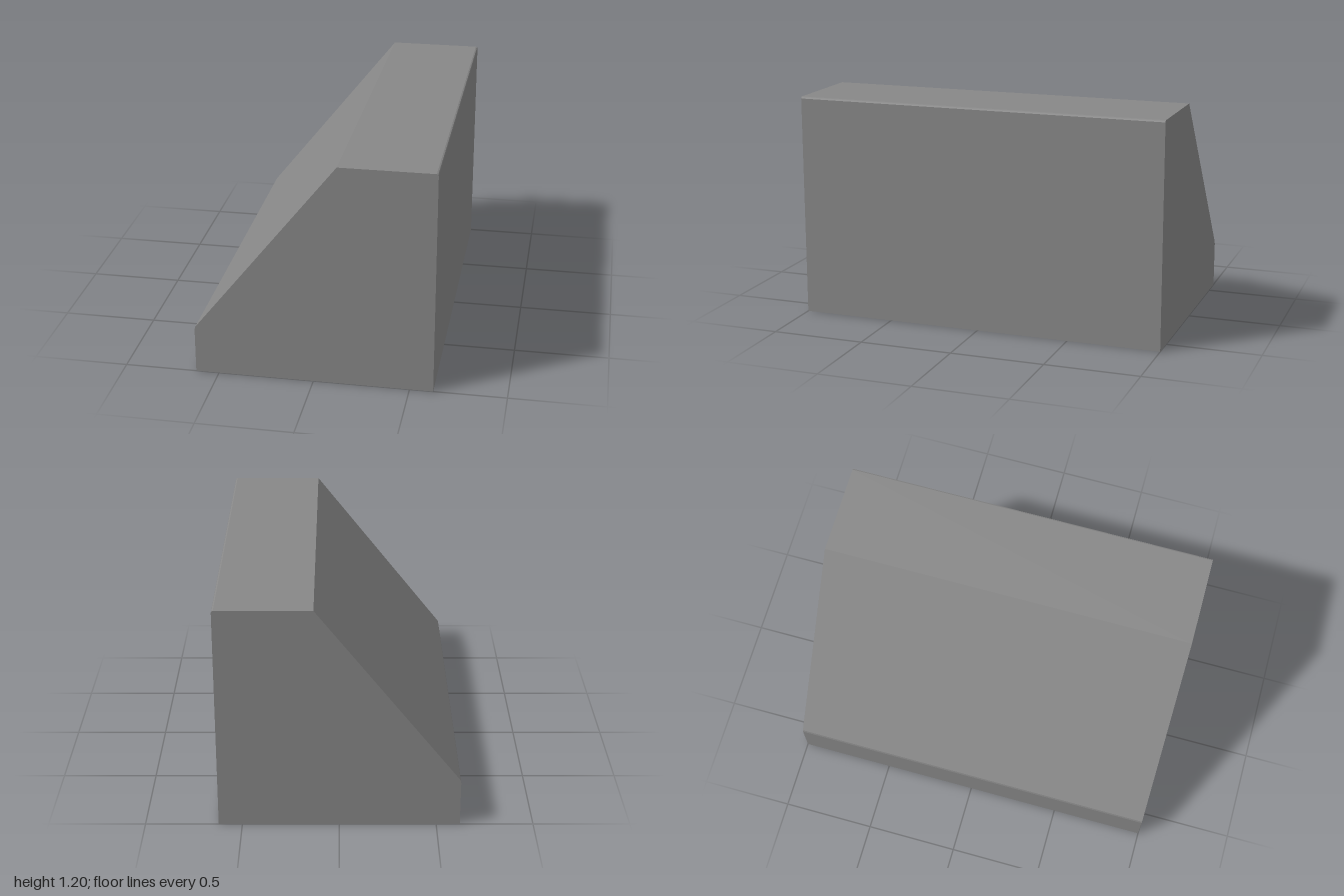
import * as THREE from 'three';
import { toCreasedNormals } from 'three/addons/utils/BufferGeometryUtils.js';

const HALF_LENGTH = 1;

// Cross-sections, from the foot of the low wall over the slope and top to the foot of the tall wall
const OUTER = [
  [-0.622, 0], [-0.622, 0.245], [-0.618, 0.26],
  [0.125, 1.2],
  [0.612, 1.2], [0.619, 1.197], [0.622, 1.19], [0.622, 0],
];
const INNER = [
  [-0.618, 0], [-0.618, 0.254], [-0.502, 0.4],
  [0.127, 1.196], [0.618, 1.196], [0.618, 0],
];

// Sheet folded along a cross-section and running the whole length
function foldedSheet(profile, creaseAngle) {
  const sheet = new THREE.PlaneGeometry(1, 1, profile.length - 1, 1);
  const position = sheet.attributes.position;
  for (let row = 0; row < 2; row++) {
    profile.forEach(([x, y], i) => {
      position.setXYZ(row * profile.length + i, x, y, row ? HALF_LENGTH : -HALF_LENGTH);
    });
  }
  return toCreasedNormals(sheet, creaseAngle);
}

export function createModel() {
  const group = new THREE.Group();
  group.name = 'slopedCover';
  const material = new THREE.MeshStandardMaterial({ color: 0x878787, side: THREE.DoubleSide });

  const add = (name, geometry) => {
    const mesh = new THREE.Mesh(geometry, material);
    mesh.name = name;
    group.add(mesh);
  };

  // Flat-faced outside, and a lining that shades softly from the slope into the low wall
  add('outerSheet', foldedSheet(OUTER, 0.2));
  add('innerLining', foldedSheet(INNER, 0.75));

  // End panels; the back one is drawn mirrored, then turned to face -z
  for (const side of [1, -1]) {
    const outline = new THREE.Shape(OUTER.map(([x, y]) => new THREE.Vector2(x * side, y)));
    const panel = new THREE.ShapeGeometry(outline).translate(0, 0, HALF_LENGTH);
    if (side < 0) panel.rotateY(Math.PI);
    add(side > 0 ? 'frontPanel' : 'backPanel', panel);
  }

  return group;
}
